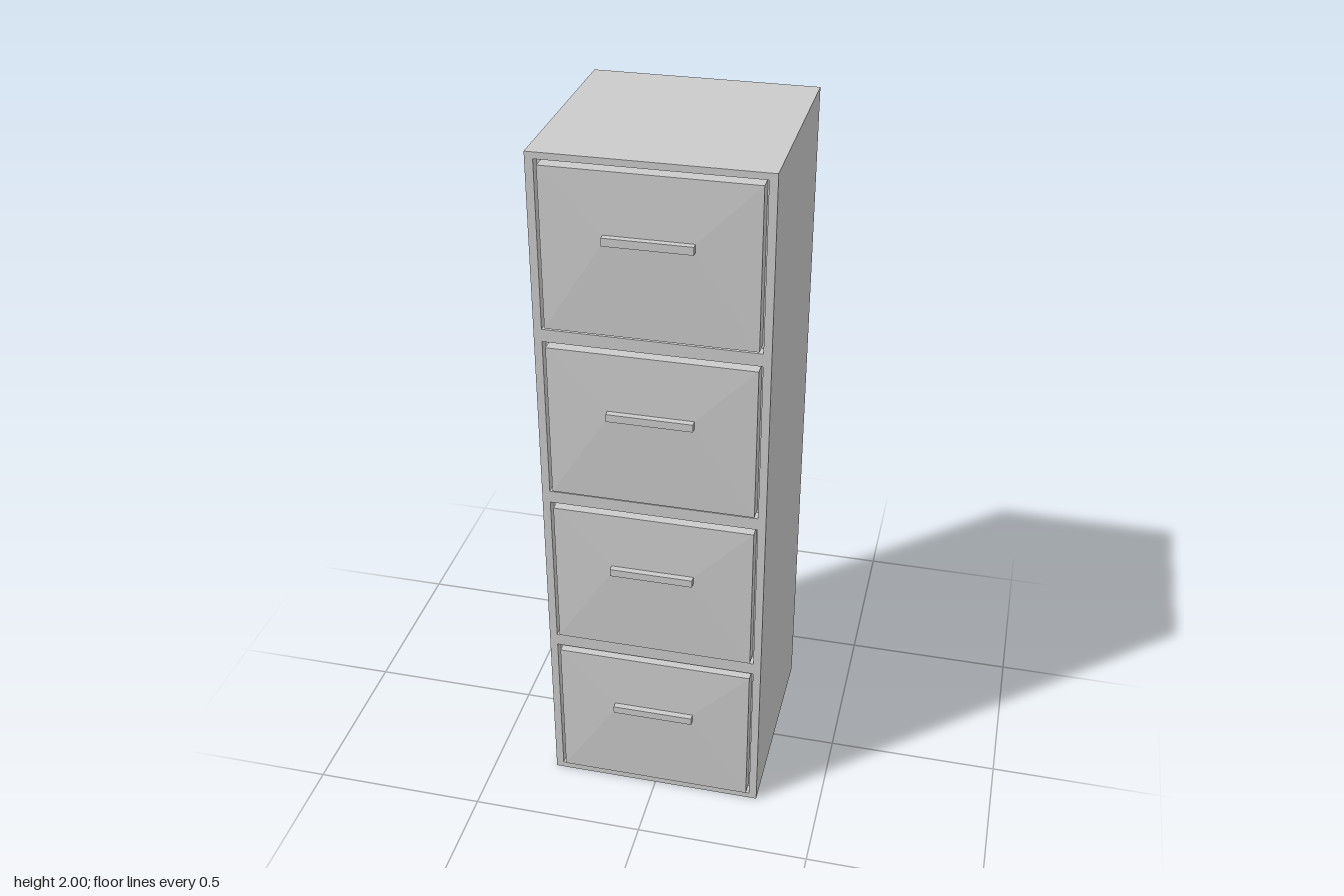
import * as THREE from 'three';

const W = 0.626, H = 2, BACK = -0.331, FRONT = 0.294;
const RECESS = 0.03;
const DRAWERS = 4, PITCH = H / DRAWERS;
const DRAWER = { w: 0.562, h: 0.444, edge: 0.306, crown: 0.313, x: 0.002 };
const HANDLE = { w: 0.234, h: 0.022, y: 0.047, front: 0.331 };

const material = new THREE.MeshStandardMaterial({ color: 0xcccccc, flatShading: true });

function addMesh(parent, name, geometry) {
  const mesh = new THREE.Mesh(geometry, material);
  mesh.name = name;
  parent.add(mesh);
  return mesh;
}

// Box between two depths
function slab(w, h, z0, z1) {
  return new THREE.BoxGeometry(w, h, z1 - z0).translate(0, 0, (z0 + z1) / 2);
}

// Shallow crowned front: four slopes rising from the drawer edge to the handle
function crownGeometry() {
  const geo = slab(DRAWER.w, DRAWER.h, DRAWER.edge, DRAWER.crown);
  const p = geo.attributes.position;
  for (let i = 0; i < p.count; i++) {
    if (p.getZ(i) < (DRAWER.edge + DRAWER.crown) / 2) continue;
    p.setX(i, Math.sign(p.getX(i)) * HANDLE.w / 2);
    p.setY(i, HANDLE.y + Math.sign(p.getY(i)) * HANDLE.h / 2);
  }
  geo.computeVertexNormals();
  return geo;
}

// Rectangle corners, counter-clockwise
function rectangle(w, h, cy) {
  return [[-1, -1], [1, -1], [1, 1], [-1, 1]].map(
    ([sx, sy]) => new THREE.Vector2(sx * w / 2, cy + sy * h / 2));
}

export function createModel() {
  const cabinet = new THREE.Group();
  cabinet.name = 'filingCabinet';

  // Solid carcass behind the drawer fronts
  addMesh(cabinet, 'carcass', slab(W, H, BACK, FRONT - RECESS)).position.y = H / 2;

  // Face frame with one opening per drawer
  const frame = new THREE.Shape(rectangle(W, H, H / 2));
  for (let i = 0; i < DRAWERS; i++) {
    frame.holes.push(new THREE.Path(rectangle(0.582, 0.464, PITCH * (i + 0.5)).reverse()));
  }
  addMesh(cabinet, 'faceFrame',
    new THREE.ExtrudeGeometry(frame, { depth: RECESS, bevelEnabled: false })
  ).position.z = FRONT - RECESS;

  // Drawers
  const panelGeo = slab(DRAWER.w, DRAWER.h, FRONT - RECESS, DRAWER.edge);
  const crownGeo = crownGeometry();
  const handleGeo = slab(HANDLE.w, HANDLE.h, DRAWER.crown, HANDLE.front);
  for (let i = 0; i < DRAWERS; i++) {
    const drawer = new THREE.Group();
    drawer.name = `drawer${i + 1}`;
    drawer.position.set(DRAWER.x, PITCH * (i + 0.5), 0);
    addMesh(drawer, 'drawerPanel', panelGeo);
    addMesh(drawer, 'drawerCrown', crownGeo);
    addMesh(drawer, 'handle', handleGeo).position.y = HANDLE.y;
    cabinet.add(drawer);
  }
  return cabinet;
}
